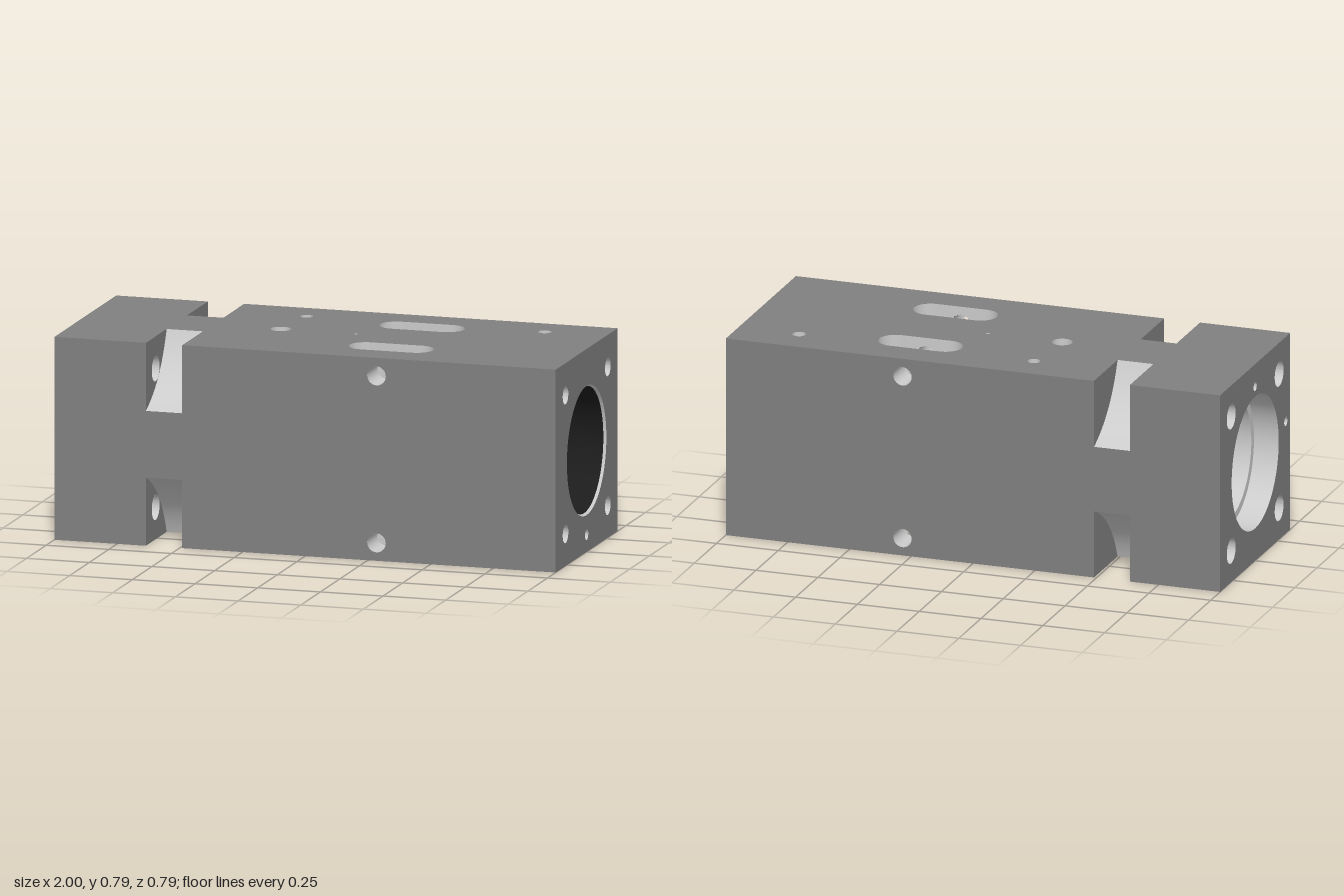
import * as THREE from 'three';

const H = 0.395;                       // half height and half depth
const Q = Math.PI / 2;
const NOTCH = { x0: -0.635, x1: -0.49, d: 0.265 };
const SLOT = { x: 0.2825, z: 0.197, half: 0.168, r: 0.067 };
const BORE = 0.163;
const mat = (color) => new THREE.MeshStandardMaterial({ color, side: THREE.DoubleSide });

export function createModel() {
  const model = new THREE.Group();
  const body = new THREE.Group();
  body.name = 'housing';
  body.position.y = H;
  model.add(body);
  const skin = mat(0x808080), bare = mat(0xcccccc), black = mat(0x1c1c1c);

  // Every piece is drawn facing +z, then turned to its side of the block
  function add(name, geo, material, rx = 0, ry = 0, drop = null) {
    geo.applyMatrix4(new THREE.Matrix4().makeRotationFromEuler(new THREE.Euler(rx, ry, 0)));
    if (drop) clip(geo, drop);
    const mesh = new THREE.Mesh(geo, material);
    mesh.name = name;
    body.add(mesh);
  }

  // Removes the triangles whose centre lies inside another cut
  function clip(geo, drop) {
    const p = geo.attributes.position, old = geo.index.array, keep = [];
    const a = new THREE.Vector3(), b = new THREE.Vector3();
    for (let i = 0; i < old.length; i += 3) {
      a.set(0, 0, 0);
      for (let k = 0; k < 3; k++) a.add(b.fromBufferAttribute(p, old[i + k]));
      a.divideScalar(3);
      if (!drop(a)) keep.push(old[i], old[i + 1], old[i + 2]);
    }
    geo.setIndex(keep);
  }

  const circle = (x, y, r) => new THREE.Path().absarc(x, y, r, 0, Math.PI * 2, true);
  function slotPath(x, y) {
    const s = SLOT.half - SLOT.r, path = new THREE.Path();
    path.absarc(x + s, y, SLOT.r, -Q, Q, false);
    path.absarc(x - s, y, SLOT.r, Q, 3 * Q, false);
    path.closePath();
    return path;
  }
  function inSlot(p) {
    const dx = Math.max(Math.abs(p.x - SLOT.x) - (SLOT.half - SLOT.r), 0);
    return Math.hypot(dx, Math.abs(p.z) - SLOT.z) < SLOT.r;
  }
  const inCrossHole = (p) => Math.hypot(p.x - 0.285, Math.abs(p.y) - 0.325) < 0.037;
  const inBore = (p) => Math.hypot(p.y, p.z) < BORE;

  // Wall swept straight along z from an outline
  function wall(points, z0, z1, rows = 1) {
    const pos = [], idx = [], n = points.length;
    for (let r = 0; r <= rows; r++)
      for (const p of points) pos.push(p.x, p.y, z0 + (z1 - z0) * r / rows);
    for (let r = 0; r < rows; r++)
      for (let i = 0; i < n - 1; i++) {
        const a = r * n + i, b = a + 1, c = a + n, d = c + 1;
        idx.push(a, b, d, a, d, c);
      }
    const g = new THREE.BufferGeometry();
    g.setAttribute('position', new THREE.Float32BufferAttribute(pos, 3));
    g.setIndex(idx);
    g.computeVertexNormals();
    return g;
  }

  const panel = (shape, z) => new THREE.ShapeGeometry(shape, 32).translate(0, 0, z);

  // Blind hole: wall and floor
  function blind(name, x, y, r, z0, z1, rx, ry, wallMat = bare, floorMat = bare) {
    add(name, wall(circle(x, y, r).getSpacedPoints(32), z1, z0), wallMat, rx, ry);
    add(name + 'Floor', new THREE.CircleGeometry(r, 32).translate(x, y, z1), floorMat, rx, ry);
  }

  // Long sides with corner notches
  function sideShape(holes) {
    const e = H - NOTCH.d, { x0, x1 } = NOTCH;
    const s = new THREE.Shape([
      [-1, -H], [x0, -H], [x0, -e], [x1, -e], [x1, -H], [1, -H],
      [1, H], [x1, H], [x1, e], [x0, e], [x0, H], [-1, H],
    ].map(([x, y]) => new THREE.Vector2(x, y)));
    s.holes.push(...holes);
    return s;
  }
  const cross = () => [circle(0.285, 0.325, 0.037), circle(0.285, -0.325, 0.037)];
  const slots = () => [slotPath(SLOT.x, SLOT.z), slotPath(SLOT.x, -SLOT.z)];
  const pins = (v) => [circle(-0.195, v, 0.025), circle(0.755, v, 0.027)];
  add('frontSide', panel(sideShape(cross()), H), skin);
  add('backSide', panel(sideShape(cross()), H), skin, Math.PI);
  add('topSide', panel(sideShape([...slots(), ...pins(0.25),
    circle(-0.22, 0, 0.04), circle(0.08, 0, 0.008)]), H), skin, -Q);
  add('bottomSide', panel(sideShape([...slots(), ...pins(-0.25)]), H), skin, Q);

  // End faces
  const bolts = [[1, 1], [-1, 1], [-1, -1], [1, -1]].map(([a, b]) => [a * 0.27, b * 0.27]);
  function endShape(holes) {
    const s = new THREE.Shape([[-H, -H], [H, -H], [H, H], [-H, H]]
      .map(([x, y]) => new THREE.Vector2(x, y)));
    s.holes.push(...holes.map(([x, y, r]) => circle(x, y, r)));
    return s;
  }
  const rightHoles = [...bolts.map(([x, y]) => [x, y, 0.036]), [0, -0.328, 0.021]];
  const leftPins = [[0, 0.305, 0.018], [0.345, 0.055, 0.018]];
  add('rightEnd', panel(endShape([[0, 0, 0.252], ...rightHoles]), 1), skin, 0, Q);
  add('leftEnd', panel(endShape([[0, 0, 0.265],
    ...bolts.map(([x, y]) => [x, y, 0.05]), ...leftPins]), 1), skin, 0, -Q);
  for (const [x, y, r] of rightHoles) blind('threadedHole', x, y, r, 1, 0.75, 0, Q);
  for (const [x, y, r] of leftPins) blind('pinHole', x, y, r, 1, 0.85, 0, -Q);
  for (const [x, y] of bolts)
    add('boltHole', wall(circle(x, y, 0.05).getSpacedPoints(40), 1, -NOTCH.x0), bare, 0, -Q);

  // Four corner notches with scooped floors
  const e = H - NOTCH.d, c = H - 0.19;
  for (let k = 0; k < 4; k++) {
    const s = new THREE.Shape();
    s.moveTo(H, H).lineTo(e, H).quadraticCurveTo(c, c, H, e).closePath();
    add('notchInnerWall', panel(s, NOTCH.x1), skin, k * Q, Q);
    const outer = s.clone();
    outer.holes.push(circle(0.27, 0.27, 0.05));
    add('notchOuterWall', panel(outer, NOTCH.x0), skin, k * Q, Q);
    const curve = new THREE.QuadraticBezierCurve(
      new THREE.Vector2(e, H), new THREE.Vector2(c, c), new THREE.Vector2(H, e));
    add('notchFloor', wall(curve.getPoints(20), NOTCH.x0, NOTCH.x1), bare, k * Q, Q);
  }

  // Stepped bore: [x, radius] from right to left
  const bore = [[1, 0.252], [0.99, 0.245], [0.6, 0.245], [0.6, 0.2], [0.5, 0.2], [0.5, BORE],
    [-0.55, BORE], [-0.55, 0.235], [-0.9, 0.235], [-0.9, 0.265], [-1, 0.265]];
  for (let i = 0; i < bore.length - 1; i++) {
    const [xa, ra] = bore[i], [xb, rb] = bore[i + 1];
    const rows = xa - xb > 1 ? 100 : 1, pts = [];
    for (let j = 0; j <= rows; j++)
      pts.push(new THREE.Vector2(ra + (rb - ra) * j / rows, xa + (xb - xa) * j / rows));
    const g = new THREE.LatheGeometry(pts, 96).rotateZ(-Q);
    add('bore', g, i > 0 && i < 5 ? black : bare, 0, 0, rows > 1 ? inSlot : null);
  }

  // Slots through top and bottom, opening into the bore and cross holes
  for (const v of [SLOT.z, -SLOT.z])
    add('slotWall', wall(slotPath(SLOT.x, v).getSpacedPoints(140), -H, H, 80), bare, -Q, 0,
      (p) => inBore(p) || inCrossHole(p));

  // Cross holes from front to back
  for (const v of [0.325, -0.325])
    add('crossHole', wall(circle(0.285, v, 0.037).getSpacedPoints(40), -H, H, 80), bare, 0, 0, inSlot);

  // Small holes in top and bottom
  add('throughHole', wall(circle(-0.195, 0.25, 0.025).getSpacedPoints(32), -H, H), bare, -Q);
  for (const [rx, v] of [[-Q, 0.25], [Q, -0.25]])
    blind('sidePort', 0.755, v, 0.027, H, 0.1, rx, 0, bare, black);
  blind('ventHole', 0.08, 0, 0.008, H, 0.3, -Q, 0);
  blind('topPort', -0.22, 0, 0.018, 0.34, 0.2, -Q, 0);
  add('topPortWall', wall(circle(-0.22, 0, 0.04).getSpacedPoints(32), 0.34, H), bare, -Q);
  add('topPortSeat', new THREE.RingGeometry(0.018, 0.04, 32).translate(-0.22, 0, 0.34), bare, -Q);

  return model;
}
